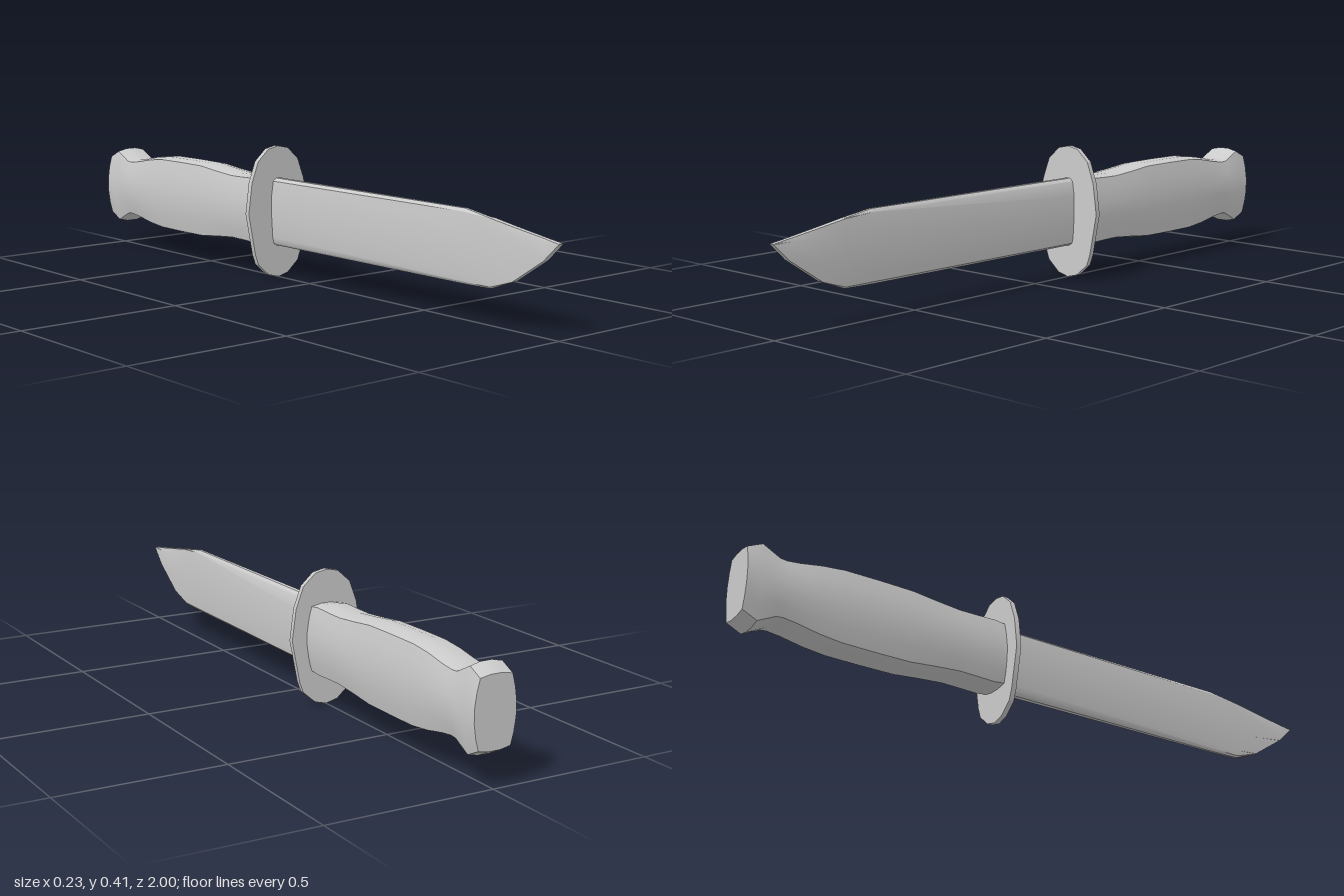
import * as THREE from 'three';
import { toCreasedNormals } from 'three/addons/utils/BufferGeometryUtils.js';

const MID = 0.205;
const material = new THREE.MeshStandardMaterial({ color: 0xcccccc });

// Mirrors a half outline [x, y], listed bottom to top with x > 0, into a closed ring
const mirrorRing = half => [...half, ...half.map(([x, y]) => [-x, y]).reverse()];

// Skins rings of [x, y] placed at rising z and closes both ends
function loft(sections, crease) {
  const n = sections[0].ring.length, last = (sections.length - 1) * n;
  const positions = [], index = [];
  for (const { z, ring } of sections) for (const [x, y] of ring) positions.push(x, y, z);
  for (let s = 0; s < last; s += n) {
    for (let j = 0; j < n; j++) {
      const k = (j + 1) % n;
      index.push(s + j, s + k, s + n + k, s + j, s + n + k, s + n + j);
    }
  }
  for (let j = 1; j < n - 1; j++) {
    index.push(0, j + 1, j, last, last + j, last + j + 1);
  }
  const geometry = new THREE.BufferGeometry();
  geometry.setAttribute('position', new THREE.Float32BufferAttribute(positions, 3));
  geometry.setIndex(index);
  return toCreasedNormals(geometry, crease);
}

function part(name, geometry) {
  const mesh = new THREE.Mesh(geometry, material);
  mesh.name = name;
  return mesh;
}

// Blade: one bevelled section, thinned toward the tip and cut by the edge outline
function makeBlade() {
  const half = [[0.008, 0.1], [0.018, 0.107], [0.022, 0.125], [0.026, 0.19],
    [0.026, 0.255], [0.019, 0.3], [0.008, 0.309]];
  // z, bottom, top
  const outline = [[-0.155, 0.1, 0.309], [0.66, 0.1, 0.309], [0.76, 0.102, 0.293],
    [0.84, 0.132, 0.28], [0.95, 0.205, 0.263], [1, 0.254, 0.256]];
  const sections = outline.map(([z, bottom, top]) => {
    const thin = 1 - 0.65 * (z + 0.155) / 1.155;
    return {
      z,
      ring: mirrorRing(half.map(([x, y]) => [x * thin, THREE.MathUtils.clamp(y, bottom, top)])),
    };
  });
  return part('blade', loft(sections, 0.45));
}

// Guard: thin faceted oval plate
function makeGuard() {
  const half = [[0.038, 0.01], [0.078, 0.045], [0.09, 0.078], [0.115, 0.205],
    [0.102, 0.3], [0.078, 0.364], [0.038, 0.4]];
  const ring = [[0, 0], ...half, [0, 0.408], ...half.map(([x, y]) => [-x, y]).reverse()];
  return part('guard', loft([{ z: -0.166, ring }, { z: -0.15, ring }], 0.4));
}

// Handle: bulged sides and slightly crowned top and bottom, height varying along the grip
function makeHandle() {
  const side = [[0.05, -0.94], [0.059, -0.6], [0.065, -0.2], [0.065, 0.2], [0.059, 0.6], [0.05, 0.94]];
  const section = [[0.018, -1], ...side, [0.018, 1]];
  // z, half height
  const profile = [[-1, 0.102], [-0.955, 0.125], [-0.9, 0.095], [-0.88, 0.093], [-0.84, 0.098],
    [-0.77, 0.112], [-0.7, 0.12], [-0.59, 0.121], [-0.48, 0.12], [-0.4, 0.111],
    [-0.32, 0.104], [-0.26, 0.105], [-0.2, 0.107], [-0.16, 0.102]];
  const sections = profile.map(([z, h]) => ({
    z, ring: mirrorRing(section.map(([x, y]) => [x, MID + y * h])),
  }));
  return part('handle', loft(sections, 0.75));
}

export function createModel() {
  const knife = new THREE.Group();
  knife.name = 'knife';
  knife.add(makeBlade(), makeGuard(), makeHandle());
  return knife;
}
